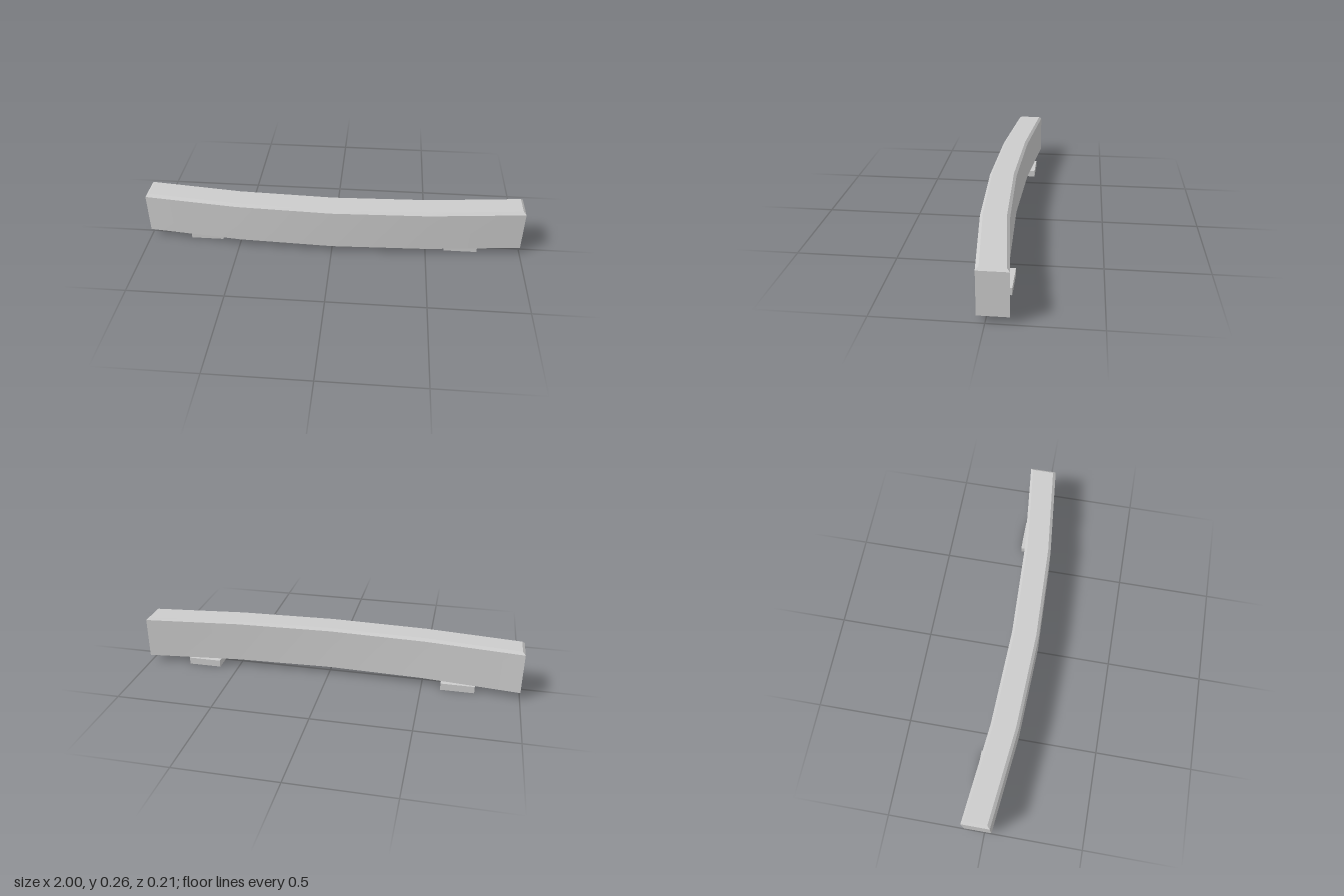
import * as THREE from 'three';

const grey = new THREE.MeshStandardMaterial({ color: 0xcccccc });
grey.name = 'light grey';

// Plan of the curved beam: [x, z of the front face]
const stations = [[-1, 0.037], [-0.5, 0.088], [0, 0.106], [0.5, 0.088], [1, 0.037]];
const depth = 0.142, bevel = 0.014;

// Cross-section: [y, distance behind the front face, end inset]
const profile = [
  [0.037, depth, 0], [0.037, 0, 0], [0.25, 0, 0],
  [0.263, bevel, bevel], [0.263, depth - bevel, bevel], [0.25, depth, 0],
];

function point(station, corner) {
  const [x, z] = stations[station];
  const [y, back, inset] = profile[corner];
  const end = Math.abs(x) === 1 ? Math.sign(x) * inset : 0;
  return [x - end, y, z - back];
}

function surface(points, index) {
  const g = new THREE.BufferGeometry();
  g.setAttribute('position', new THREE.Float32BufferAttribute(points.flat(), 3));
  g.setIndex(index);
  g.computeVertexNormals();
  return g;
}

function addMesh(parent, name, geometry) {
  const mesh = new THREE.Mesh(geometry, grey);
  mesh.name = name;
  parent.add(mesh);
  return mesh;
}

export function createModel() {
  const model = new THREE.Group();
  model.name = 'curvedBarrier';
  const beam = new THREE.Group();
  beam.name = 'beam';
  model.add(beam);

  // Long faces: smooth along the curve, sharp between faces
  const names = ['underside', 'frontFace', 'frontBevel', 'topFace', 'backBevel', 'backFace'];
  names.forEach((name, c) => {
    const points = [], index = [];
    stations.forEach((_, s) => {
      points.push(point(s, c), point(s, (c + 1) % profile.length));
      if (s > 0) {
        const a = 2 * s - 2;
        index.push(a, a + 2, a + 3, a, a + 3, a + 1);
      }
    });
    addMesh(beam, name, surface(points, index));
  });

  // End faces and their bevels
  for (const [side, s] of [['right', 0], ['left', stations.length - 1]]) {
    for (const [part, corners] of [['End', [0, 5, 2, 1]], ['EndBevel', [5, 4, 3, 2]]]) {
      const index = s > 0 ? [0, 1, 2, 0, 2, 3] : [0, 2, 1, 0, 3, 2];
      addMesh(beam, side + part, surface(corners.map((c) => point(s, c)), index));
    }
  }

  // Feet
  for (const [side, sign] of [['left', 1], ['right', -1]]) {
    const foot = addMesh(model, side + 'Foot', new THREE.BoxGeometry(0.174, 0.037, 0.137));
    foot.position.set(sign * 0.687, 0.0185, -0.023);
  }
  return model;
}
